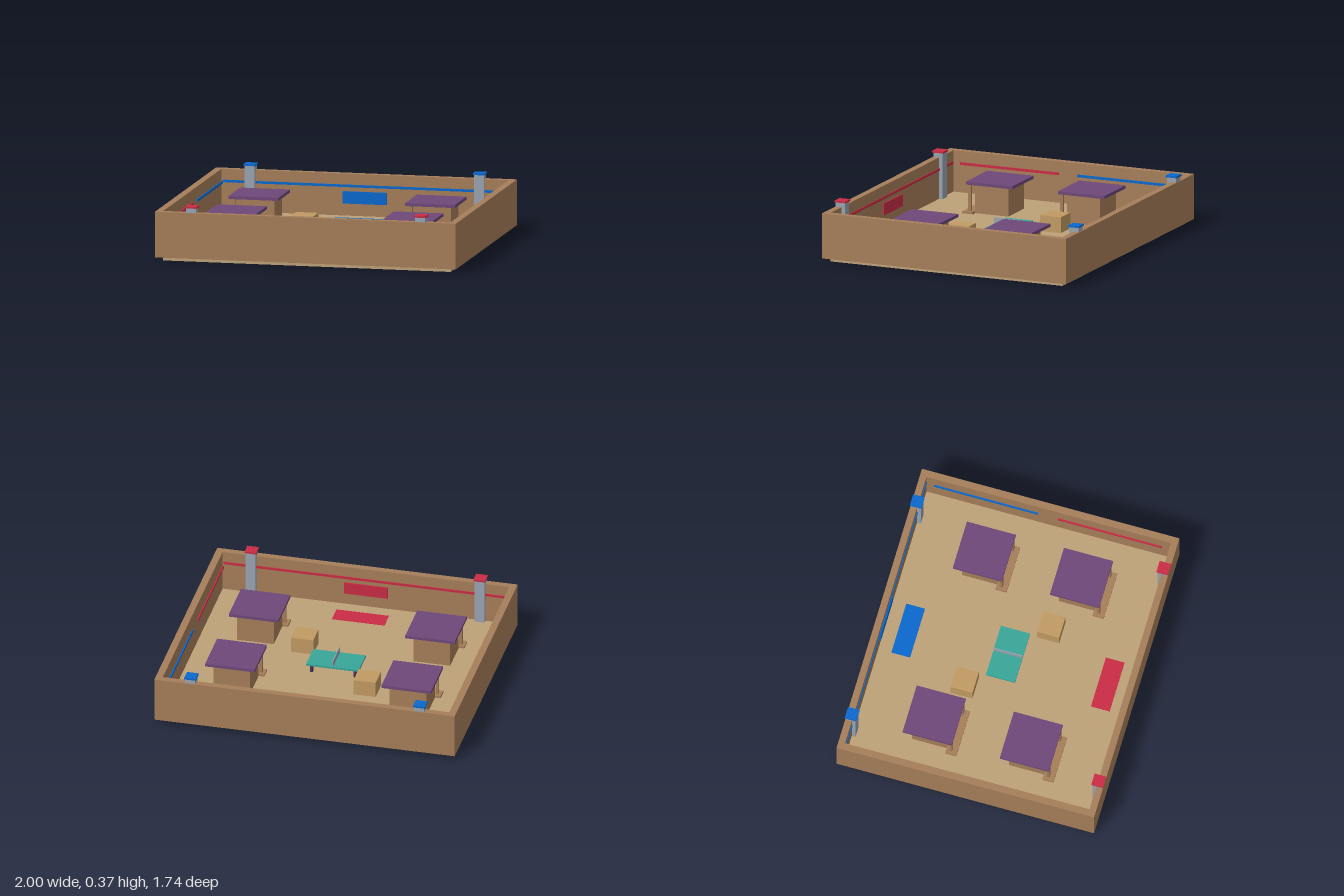
import * as THREE from 'three';

const paint = (name, color) => {
  const m = new THREE.MeshStandardMaterial({ color });
  m.name = name;
  return m;
};

export function createModel() {
  const wallBrown = paint('wall brown', 0xa67e5a);
  const sand = paint('sand', 0xbda178);
  const purple = paint('roof purple', 0x6e4879);
  const blue = paint('team blue', 0x0a68cc);
  const red = paint('team red', 0xc92c44);
  const grey = paint('post grey', 0x98a3b0);
  const teal = paint('table teal', 0x38a698);
  const crateTan = paint('crate tan', 0xc19a62);
  const dark = paint('leg plum', 0x4a2f52);

  const root = new THREE.Group();
  root.name = 'arena';

  // Box given by its extents along each axis
  const box = (parent, name, mat, [x0, x1], [y0, y1], [z0, z1]) => {
    const mesh = new THREE.Mesh(new THREE.BoxGeometry(x1 - x0, y1 - y0, z1 - z0), mat);
    mesh.position.set((x0 + x1) / 2, (y0 + y1) / 2, (z0 + z1) / 2);
    mesh.name = name;
    parent.add(mesh);
    return mesh;
  };
  const span = (c, half) => [c - half, c + half];
  const GROUND = 0.05;

  // Floor and perimeter walls
  box(root, 'floor', sand, [-0.957, 0.957], [0, GROUND], [-0.825, 0.825]);
  for (const s of [-1, 1]) {
    box(root, 'sideWall', wallBrown, span(s * 0.977, 0.023), [0.025, 0.325], [-0.867, 0.867]);
    box(root, 'endWall', wallBrown, [-0.954, 0.954], [0.025, 0.325], span(s * 0.845, 0.022));
  }

  // Team ends: blue at the back, red at the front
  for (const [s, mat] of [[-1, blue], [1, red]]) {
    box(root, 'endStripe', mat, [-0.945, 0.945], [0.238, 0.254], span(s * 0.821, 0.004));
    box(root, 'endSign', mat, [-0.147, 0.145], [0.13, 0.21], span(s * 0.819, 0.0045));
    box(root, 'spawnMat', mat, [-0.175, 0.175], [GROUND, GROUND + 0.002], span(s * 0.672, 0.063));
    for (const t of [-1, 1]) {
      box(root, 'sideStripe', mat, span(t * 0.937, 0.0045), [0.238, 0.254], span(s * 0.417, 0.35));
      box(root, 'towerPost', grey, span(t * 0.762, 0.033), [GROUND, 0.355], span(s * 0.83, 0.033));
      box(root, 'towerCap', mat, span(t * 0.762, 0.039), [0.355, 0.367], span(s * 0.83, 0.039));
    }
  }

  // Four huts, all with the porch toward the front
  for (const x of [-0.587, 0.587]) {
    for (const z of [-0.328, 0.326]) {
      const hut = new THREE.Group();
      hut.name = 'hut';
      hut.position.set(x, GROUND, z);
      root.add(hut);
      box(hut, 'hutBody', wallBrown, [-0.122, 0.122], [0, 0.195], [-0.116, 0.12]);
      box(hut, 'roof', purple, [-0.165, 0.165], [0.195, 0.215], [-0.165, 0.165]);
      box(hut, 'porchStep', wallBrown, [-0.16, 0.16], [0, 0.014], [0.12, 0.195]);
      box(hut, 'window', purple, [-0.035, 0.03], [0.068, 0.132], [0.119, 0.126]);
      for (const s of [-1, 1]) {
        box(hut, 'porchPost', wallBrown, span(s * 0.13, 0.01), [0.014, 0.195], span(0.152, 0.01));
      }
    }
  }

  // Table with net in the middle
  const table = new THREE.Group();
  table.name = 'table';
  root.add(table);
  box(table, 'tableTop', teal, [-0.175, 0.175], [0.105, 0.118], [-0.098, 0.098]);
  box(table, 'net', grey, [-0.003, 0.003], [0.118, 0.158], [-0.098, 0.098]);
  for (const sx of [-1, 1]) {
    for (const sz of [-1, 1]) {
      box(table, 'tableLeg', dark, span(sx * 0.145, 0.009), [GROUND, 0.105], span(sz * 0.07, 0.009));
    }
  }

  // Crates on opposite sides of the table
  for (const s of [-1, 1]) {
    box(root, 'crate', crateTan, span(s * 0.26, 0.074), [GROUND, 0.155], span(s * 0.217, 0.074));
  }
  return root;
}
